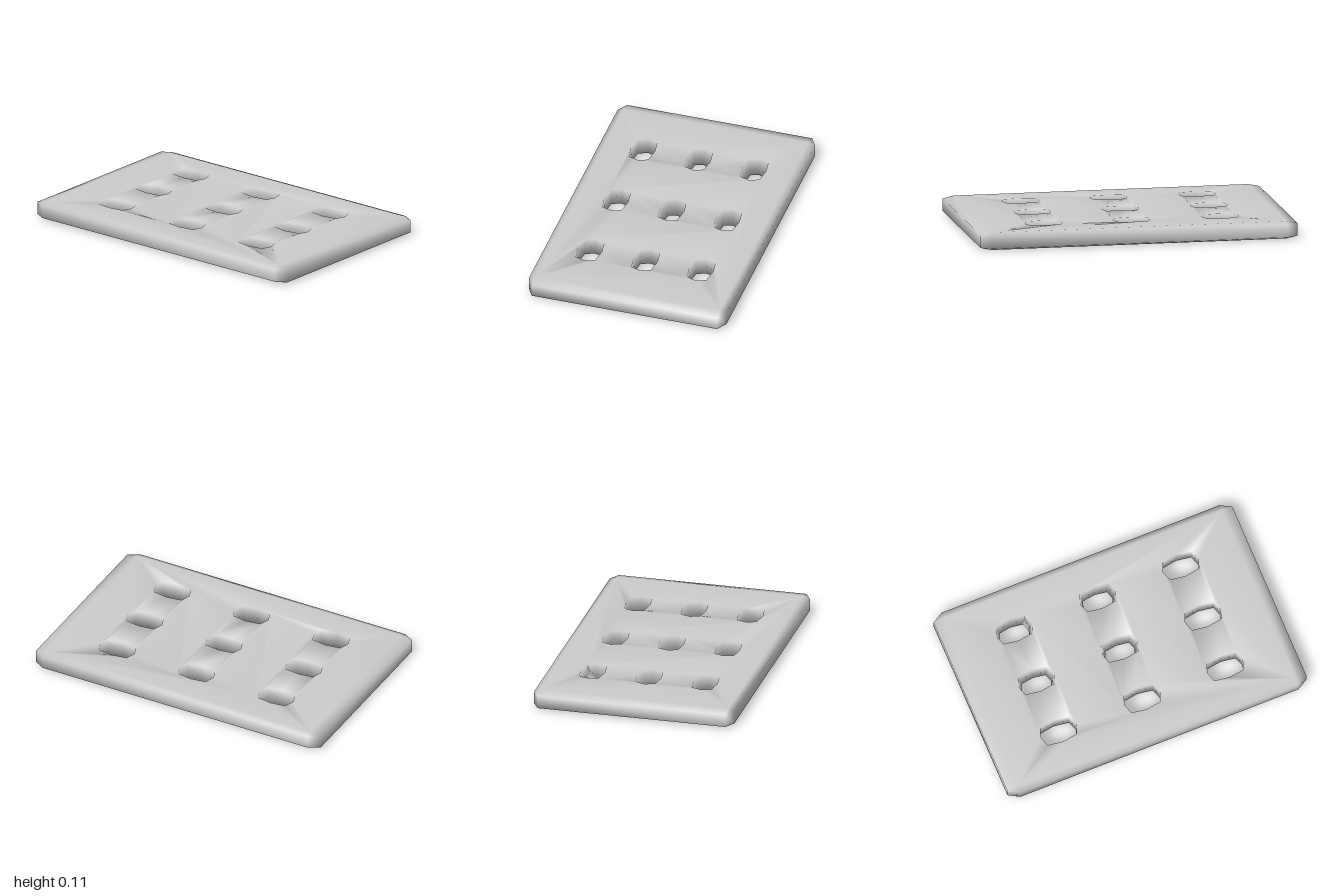
import * as THREE from 'three';
import { mergeVertices } from 'three/addons/utils/BufferGeometryUtils.js';

const W = 0.64, D = 1, H = 0.11;          // half width, half depth, thickness
const CX = 0.04, CY = 0.015, CZ = 0.07;   // edge chamfer

// Rings are counter-clockwise seen from above.
function outerRing(y, corner) {
  const points = [];
  for (const [sx, sz] of [[1, 1], [1, -1], [-1, -1], [-1, 1]]) {
    const alongZ = new THREE.Vector3(sx * (W - (corner ? CX : 0)), y, sz * (D - CZ));
    const alongX = new THREE.Vector3(sx * (W - CX), y, sz * (D - (corner ? CZ : 0)));
    points.push(...(sx * sz > 0 ? [alongX, alongZ] : [alongZ, alongX]));
  }
  return points;
}

// Eight-sided hole outline, fuller than an ellipse at its diagonals
function holeRing(x, z, y, rx, rz) {
  return Array.from({ length: 8 }, (_, i) => {
    const a = i * Math.PI / 4, k = i % 2 ? 1.15 : 1;
    return new THREE.Vector3(x + rx * k * Math.cos(a), y, z - rz * k * Math.sin(a));
  });
}

function slabGeometry() {
  const positions = [];
  const tri = (a, b, c) => {
    if (a.equals(b) || b.equals(c) || c.equals(a)) return;
    for (const p of [a, b, c]) positions.push(p.x, p.y, p.z);
  };
  // Wall between an upper and a lower ring
  const wall = (upper, lower) => upper.forEach((a, i) => {
    const j = (i + 1) % upper.length;
    tri(a, lower[i], lower[j]);
    tri(a, lower[j], upper[j]);
  });
  // Flat face pierced by holes
  const face = (outline, holes, up) => {
    const flat = ring => ring.map(p => new THREE.Vector2(p.x, -p.z));
    const all = [...outline, ...holes.flat()];
    for (const [a, b, c] of THREE.ShapeUtils.triangulateShape(flat(outline), holes.map(flat))) {
      if (up) tri(all[a], all[b], all[c]);
      else tri(all[a], all[c], all[b]);
    }
  };

  // Chamfered rim
  const rings = [outerRing(H, true), outerRing(H - CY, false), outerRing(CY, false), outerRing(0, true)];
  for (let i = 0; i < 3; i++) wall(rings[i], rings[i + 1]);

  // Three by three holes; four of them narrow towards the bottom
  const topHoles = [], bottomHoles = [];
  for (const x of [-0.36, 0, 0.36]) {
    for (const z of [-0.56, 0, 0.555]) {
      const tapered = x > -0.1 && z < 0.1;
      const top = holeRing(x, z, H, 0.076, 0.118);
      const bottom = holeRing(x, z, 0, tapered ? 0.06 : 0.076, tapered ? 0.097 : 0.118);
      wall([...top].reverse(), [...bottom].reverse());
      topHoles.push(top);
      bottomHoles.push(bottom);
    }
  }
  const corners = ring => ring.filter((_, i) => i % 2 === 0);
  face(corners(rings[0]), topHoles, true);
  face(corners(rings[3]), bottomHoles, false);

  // Shared vertices give soft shading over the edges
  let geometry = new THREE.BufferGeometry();
  geometry.setAttribute('position', new THREE.Float32BufferAttribute(positions, 3));
  geometry = mergeVertices(geometry);
  geometry.computeVertexNormals();
  return geometry;
}

export function createModel() {
  const group = new THREE.Group();
  group.name = 'perforatedSlab';
  const slab = new THREE.Mesh(slabGeometry(), new THREE.MeshStandardMaterial({ color: 0xcccccc }));
  slab.name = 'slab';
  group.add(slab);
  return group;
}
